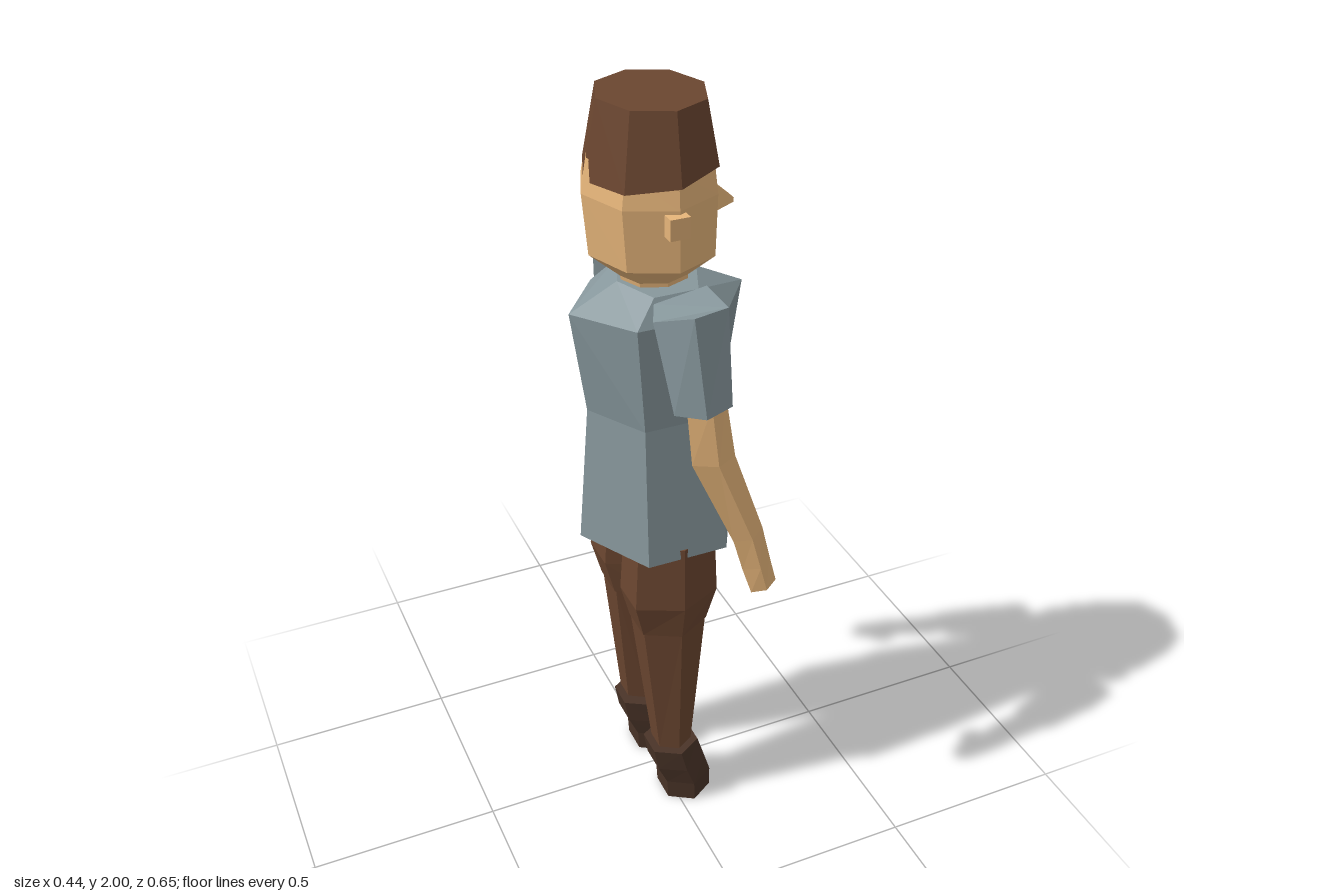
import * as THREE from 'three';

const material = (color) => new THREE.MeshStandardMaterial({ color, flatShading: true, side: THREE.DoubleSide });
const skin = material(0xe6b57a), cloth = material(0x87979c), brown = material(0x6b4630), leather = material(0x4a3428);

// Ring of n points around (cx, cy, cz); tilt raises it toward +x
function ring(n, phase, [cx, cy, cz, rx, rz, tilt = 0]) {
  return Array.from({ length: n }, (_, i) => {
    const a = phase + (i / n) * Math.PI * 2, dx = rx * Math.cos(a);
    return [cx + dx, cy + dx * tilt, cz + rz * Math.sin(a)];
  });
}

// Closed faceted skin over a stack of rings, always facing outward
function loft(name, rings, mat, side = 1) {
  const tris = [], n = rings[0].length;
  for (let r = 0; r < rings.length - 1; r++) {
    for (let i = 0; i < n; i++) {
      const j = (i + 1) % n, a = rings[r], b = rings[r + 1];
      tris.push([a[i], b[i], b[j]], [a[i], b[j], a[j]]);
    }
  }
  const first = rings[0], last = rings[rings.length - 1];
  for (let i = 1; i < n - 1; i++) {
    tris.push([first[0], first[i], first[i + 1]], [last[0], last[i + 1], last[i]]);
  }
  const vec = (p) => new THREE.Vector3(p[0], p[1], p[2] * side);
  let volume = 0;
  for (const [a, b, c] of tris) volume += vec(a).dot(vec(b).cross(vec(c)));
  const pos = [];
  for (const [a, b, c] of tris) {
    for (const p of volume > 0 ? [a, b, c] : [a, c, b]) pos.push(p[0], p[1], p[2] * side);
  }
  const geo = new THREE.BufferGeometry();
  geo.setAttribute('position', new THREE.Float32BufferAttribute(pos, 3));
  geo.computeVertexNormals();
  const mesh = new THREE.Mesh(geo, mat);
  mesh.name = name;
  return mesh;
}

const stack = (name, n, phase, specs, mat, side) => loft(name, specs.map((s) => ring(n, phase, s)), mat, side);

function box(name, size, position, mat) {
  const mesh = new THREE.Mesh(new THREE.BoxGeometry(...size), mat);
  mesh.name = name;
  mesh.position.set(...position);
  return mesh;
}

// Six-sided cross-section of the shirt: points at front and back, flat flanks
const shirtRing = (y, rx, fx, fz) =>
  [[rx, y, 0], [fx, y, fz], [-fx, y, fz], [-rx, y, 0], [-fx, y, -fz], [fx, y, -fz]];

export function createModel() {
  const model = new THREE.Group();
  model.name = 'figure';

  // Head, hair and nose
  model.add(
    stack('head', 8, 0, [
      [0, 1.5, -0.005, 0.075, 0.075], [-0.005, 1.575, -0.005, 0.085, 0.08],
      [-0.013, 1.64, -0.006, 0.152, 0.166], [-0.018, 1.79, -0.006, 0.161, 0.172],
      [-0.016, 1.87, -0.006, 0.148, 0.16],
    ], skin),
    stack('hair', 8, 0, [
      [-0.015, 1.84, -0.006, 0.158, 0.175, 0.13], [-0.013, 2, -0.005, 0.127, 0.14],
    ], brown),
    loft('nose', [
      [[0.125, 1.78, -0.01], [0.125, 1.78, 0.01], [0.125, 1.7, 0.022], [0.125, 1.7, -0.022]],
      [[0.186, 1.725, -0.012], [0.186, 1.725, 0.012], [0.184, 1.715, 0.014], [0.184, 1.715, -0.014]],
    ], skin));

  // Shirt body
  model.add(loft('shirt', [
    shirtRing(0.875, 0.21, 0.105, 0.193), shirtRing(1.24, 0.182, 0.095, 0.15),
    shirtRing(1.505, 0.22, 0.11, 0.143), shirtRing(1.565, 0.1, 0.055, 0.11),
  ], cloth));

  for (const side of [1, -1]) {
    const prefix = side > 0 ? 'left' : 'right';
    model.add(
      box(prefix + 'Ear', [0.048, 0.05, 0.03], [-0.025, 1.757, side * 0.169], skin),

      // Sleeve and bare arm
      loft(prefix + 'Sleeve', [
        [[0.07, 1.575, 0.235], [-0.025, 1.58, 0.262], [-0.088, 1.545, 0.18], [-0.06, 1.555, 0.12], [0.07, 1.575, 0.12]],
        [[0.066, 1.345, 0.278], [-0.005, 1.335, 0.294], [-0.062, 1.33, 0.24], [-0.035, 1.33, 0.185], [0.066, 1.345, 0.185]],
      ], cloth, side),
      stack(prefix + 'Arm', 5, Math.PI / 2, [
        [0.012, 1.36, 0.237, 0.052, 0.046], [0.028, 1.2, 0.252, 0.058, 0.043],
        [0.112, 0.98, 0.28, 0.04, 0.036, 0.3], [0.135, 0.89, 0.284, 0.038, 0.038, 0.3],
        [0.153, 0.82, 0.298, 0.035, 0.027, 0.3],
      ], skin, side));
    const thumb = box(prefix + 'Thumb', [0.034, 0.045, 0.034], [0.153, 0.88, side * 0.25], skin);
    thumb.rotation.y = Math.PI / 4;
    model.add(thumb);

    // Trouser leg in two pieces, and shoe
    model.add(
      stack(prefix + 'Thigh', 6, Math.PI / 2, [
        [-0.01, 0.9, 0.1, 0.12, 0.095], [-0.013, 0.72, 0.104, 0.13, 0.104], [-0.012, 0.62, 0.097, 0.102, 0.093],
      ], brown, side),
      stack(prefix + 'Shin', 6, Math.PI / 2, [
        [-0.011, 0.625, 0.095, 0.1, 0.092], [-0.006, 0.2, 0.111, 0.054, 0.056],
      ], brown, side),
      stack(prefix + 'Shoe', 6, Math.PI / 2, [
        [-0.005, 0.19, 0.106, 0.075, 0.075], [0.012, 0.12, 0.106, 0.08, 0.077],
        [0.034, 0.06, 0.105, 0.075, 0.078], [0.036, 0, 0.105, 0.073, 0.077],
      ], leather, side));
  }
  return model;
}
